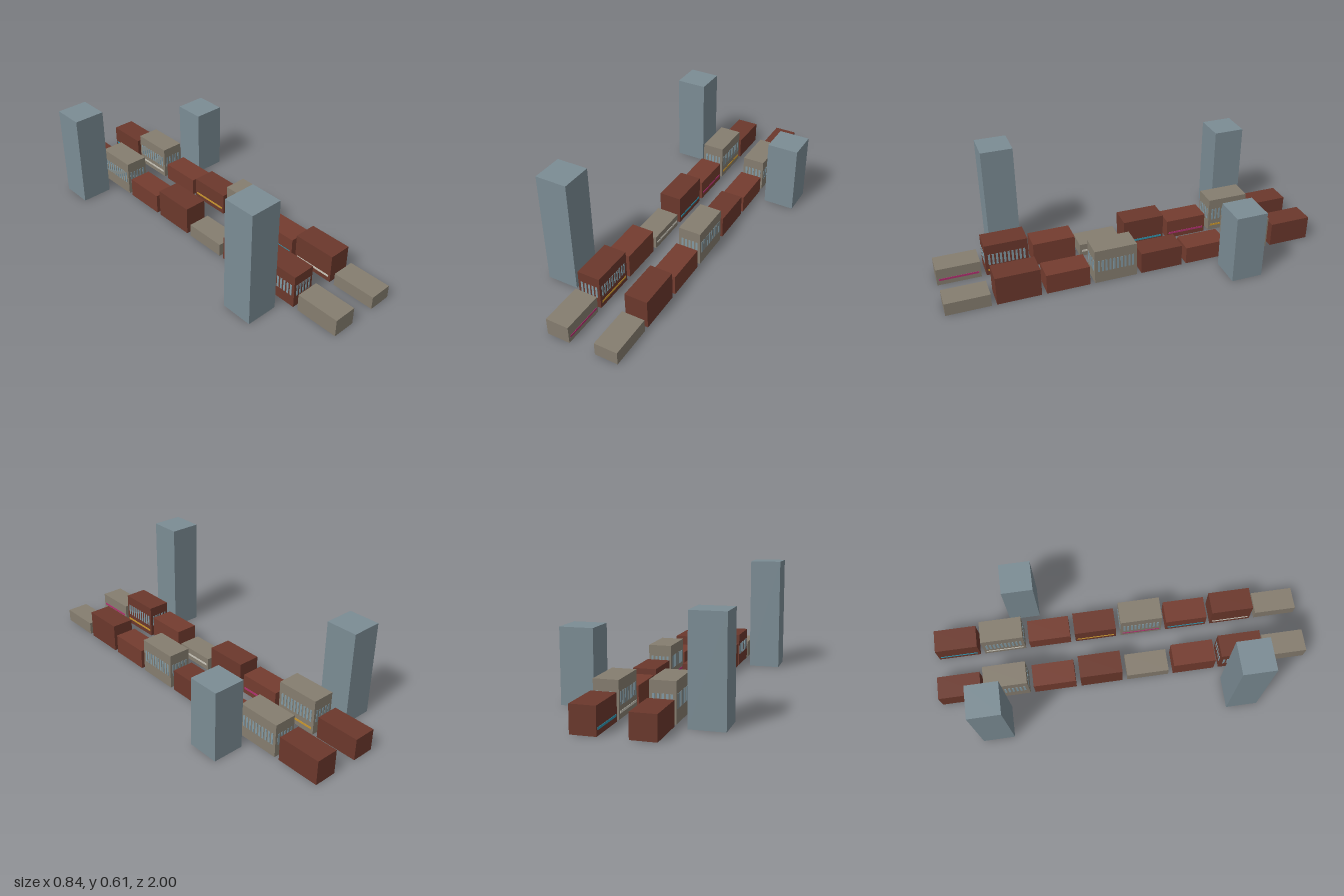
import * as THREE from 'three';

const mat = (color) => new THREE.MeshStandardMaterial({ color });
const wall = [mat(0x6b382c), mat(0x857d6f), mat(0x743c2f)]; // dark brick, stone, light brick
const glass = mat(0x8299a3);
const towerMat = mat(0x7b8c94);
const signs = [null, mat(0xc9962e), mat(0xb03070), mat(0x2f93ad), mat(0xc8c4b8)];

const W = 0.121, D = 0.227, STEP = 0.2533, ROW_X = 0.13;

function box(name, w, h, d, x, y, z, material) {
  const mesh = new THREE.Mesh(new THREE.BoxGeometry(w, h, d), material);
  mesh.name = name;
  mesh.position.set(x, y, z);
  return mesh;
}

// Bands of narrow windows on all four walls
function addWindows(group, h) {
  const pitch = 0.0205, w = 0.011, t = 0.003, wh = h * 0.35, y = h * 0.52;
  for (const s of [-1, 1]) {
    for (let k = 0; k < 5; k++) {
      group.add(box('endWindow', w, wh, t, (k - 2) * pitch, y, s * D / 2, glass));
    }
    for (let k = 0; k < 10; k++) {
      group.add(box('sideWindow', t, wh, w, s * W / 2, y, (k - 4.5) * pitch, glass));
    }
  }
}

// One block with its sign band on the street side
function building(side, i, h) {
  const group = new THREE.Group();
  group.name = side > 0 ? 'leftRowBuilding' : 'rightRowBuilding';
  group.add(box('walls', W, h, D, 0, h / 2, 0, wall[i % 3]));
  if (h > 0.17) addWindows(group, h);
  const sign = signs[(i + (side > 0 ? 3 : 0)) % 5];
  if (sign) group.add(box('signBand', 0.004, 0.011, D * 0.9, -side * W / 2, 0.031, 0, sign));
  group.position.set(side * ROW_X, 0, (i - 3.5) * STEP);
  return group;
}

export function createModel() {
  const model = new THREE.Group();
  model.name = 'cityStreet';

  // Two facing rows, listed from back to front
  const rows = [
    [-1, [0.116, 0.19, 0.107, 0.154, 0.07, 0.13, 0.178, 0.093]],
    [1, [0.13, 0.178, 0.095, 0.118, 0.19, 0.108, 0.154, 0.069]],
  ];
  for (const [side, heights] of rows) {
    heights.forEach((h, i) => model.add(building(side, i, h)));
  }

  // Towers behind the rows: x, z, height
  for (const [x, z, h] of [[-0.338, 0.605, 0.608], [-0.338, -0.712, 0.503], [0.336, -0.508, 0.372]]) {
    model.add(box('tower', 0.167, h, 0.167, x, h / 2, z, towerMat));
  }
  return model;
}
